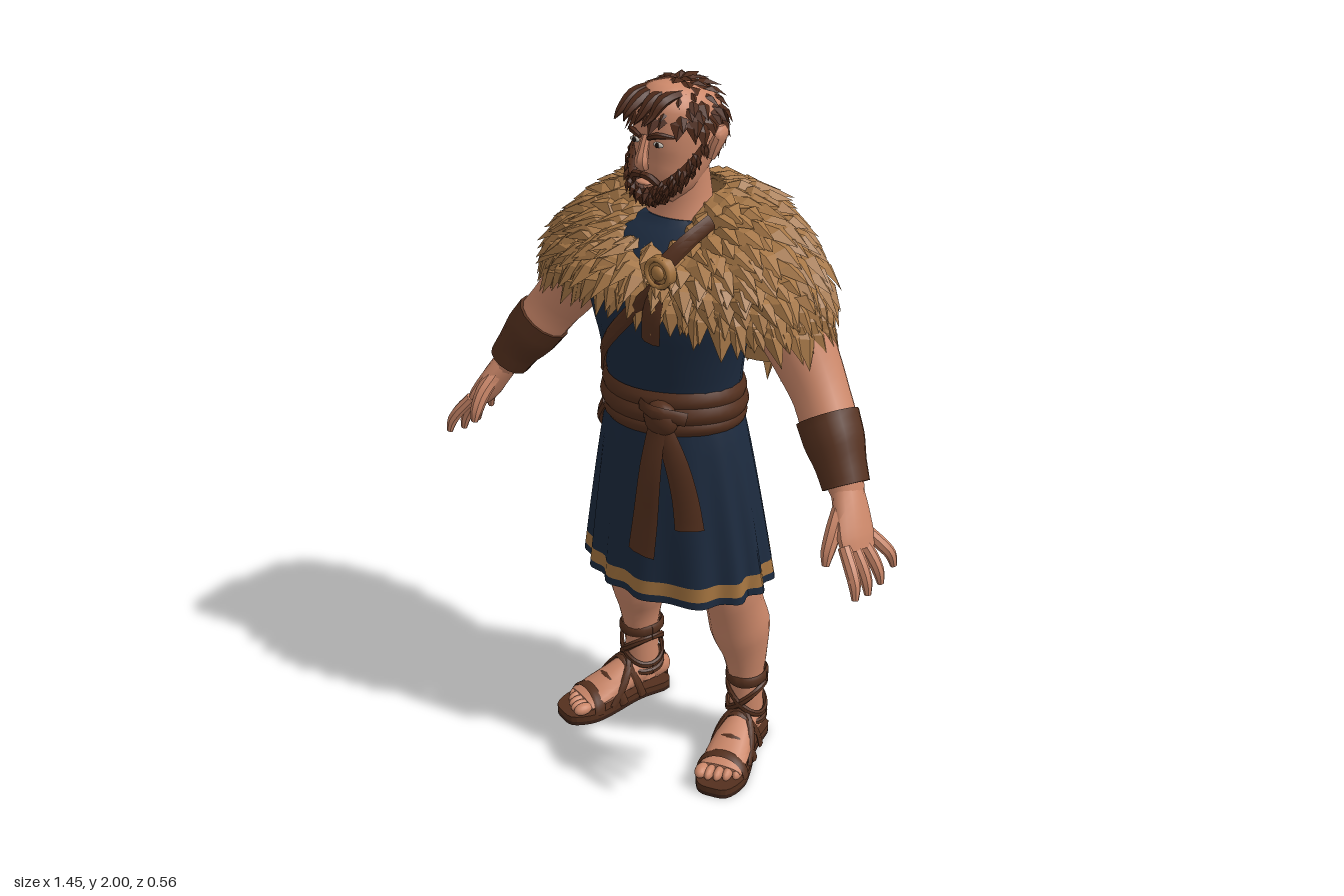
import * as THREE from 'three';
import { toCreasedNormals, mergeGeometries } from 'three/addons/utils/BufferGeometryUtils.js';

const V = (x, y, z) => new THREE.Vector3(x, y, z);
const mat = (name, color, side = THREE.DoubleSide) => {
  const m = new THREE.MeshStandardMaterial({ color, side });
  m.name = name;
  return m;
};
let seed = 7;
const rnd = () => ((seed = (seed * 16807) % 2147483647) / 2147483647) - 0.5;

function build(pos, idx, crease = 0.7) {
  const g = new THREE.BufferGeometry();
  g.setAttribute('position', new THREE.Float32BufferAttribute(pos, 3));
  g.setIndex(idx);
  return toCreasedNormals(g, crease);
}

// Closed tube through rows of [x, y, z, width radius, depth radius]; ref gives the depth direction.
function loft(rows, seg = 12, ref = () => V(0, 0, 1), sub = 3) {
  const path = new THREE.CatmullRomCurve3(rows.map(r => V(r[0], r[1], r[2])));
  const radii = new THREE.CatmullRomCurve3(rows.map(r => V(r[3], r[4], 0)));
  const n = (rows.length - 1) * sub, pos = [], idx = [];
  for (let i = 0; i <= n; i++) {
    const c = path.getPoint(i / n), r = radii.getPoint(i / n), T = path.getTangent(i / n);
    const v = ref(c).clone().addScaledVector(T, -ref(c).dot(T)).normalize();
    const u = v.clone().cross(T);
    for (let j = 0; j < seg; j++) {
      const a = (j / seg) * Math.PI * 2;
      pos.push(...c.clone().addScaledVector(u, Math.cos(a) * r.x).addScaledVector(v, Math.sin(a) * r.y));
      if (i === n) continue;
      const k = (j + 1) % seg, p = i * seg, q = p + seg;
      idx.push(p + j, p + k, q + k, p + j, q + k, q + j);
    }
  }
  const s = pos.length / 3;
  pos.push(...path.getPoint(0), ...path.getPoint(1));
  for (let j = 0; j < seg; j++) {
    const k = (j + 1) % seg;
    idx.push(s, k, j, s + 1, n * seg + j, n * seg + k);
  }
  return build(pos, idx);
}
// Upright body: rows of [y, z centre, x radius, z radius].
const body = (rows, seg = 20) => loft(rows.map(([y, z, a, b]) => [0, y, z, a, b]), seg);
// Flat strap along points, lying against an upright axis at (cx, cz).
const strap = (pts, w, cx = 0, cz = 0.02, th = 0.009) =>
  loft(pts.map(p => [...p, w, th]), 6, c => V(c.x - cx, 0, c.z - cz), 3);

// Sheet over fn(u, v), with v limited to a range.
function sheet(fn, nu, nv, v0 = 0, v1 = 1) {
  const pos = [], idx = [];
  for (let i = 0; i <= nv; i++) for (let j = 0; j <= nu; j++) {
    pos.push(...fn(j / nu, v0 + (v1 - v0) * i / nv));
    const a = i * (nu + 1) + j, b = a + nu + 1;
    if (i < nv && j < nu) idx.push(a, a + 1, b + 1, a, b + 1, b);
  }
  return build(pos, idx);
}

// Rows of pointed, ridged locks that follow a sheet downwards.
function locks(fn, rows, count, len, wide, lift, centre, v0 = 0.02, v1 = 0.95) {
  const pos = [], idx = [];
  for (let i = 0; i < rows; i++) {
    const v = v0 + (v1 - v0) * i / (rows - 1), n = count(v);
    for (let j = 0; j < n; j++) {
      const u = (j + 0.5 * (i % 2) + 0.25 + rnd() * 0.4) / n, w = Math.min(v, 0.97);
      const P = fn(u, v), base = fn(u, w);
      const D = fn(u, w + 0.02).sub(base).normalize();
      const S = fn(u + 0.005, w).sub(base).normalize();
      D.addScaledVector(S, rnd() * 0.5).normalize();
      const N = D.clone().cross(S).normalize();
      if (N.dot(P.clone().sub(centre)) < 0) N.negate();
      const L = len * (1 + rnd() * 0.5), W = wide * (1 + rnd() * 0.4) / 2, h = lift * (1 + rnd() * 0.5);
      const at = (d, s, o) => P.clone().addScaledVector(D, d * L).addScaledVector(S, s * W).addScaledVector(N, o * h);
      const k = pos.length / 3;
      pos.push(...at(-0.15, 0, -0.3), ...at(0.3, -1, 0.2), ...at(0.35, 0, 1.2), ...at(0.3, 1, 0.2), ...at(1, 0, 0.9));
      idx.push(k, k + 1, k + 2, k, k + 2, k + 3, k + 1, k + 4, k + 2, k + 2, k + 4, k + 3);
    }
  }
  return build(pos, idx, 0.1);
}

export function createModel() {
  const root = new THREE.Group();
  const skin = mat('skin', 0xcb8769, THREE.FrontSide), fur = mat('fur', 0xa67747);
  const cloth = mat('navy cloth', 0x1c2a3e), trim = mat('tan trim', 0xa3733f);
  const leather = mat('leather', 0x54301e), hair = mat('hair', 0x4e2a1a);
  const soleMat = mat('dark sole', 0x3a2117), white = mat('eye white', 0xd8cfc4), dark = mat('pupil', 0x1c1411);
  const add = (name, geo, m, parent = root) => {
    const o = new THREE.Mesh(geo, m);
    o.name = name;
    parent.add(o);
    return o;
  };
  const ball = (x, y, z, a, b, c) => new THREE.SphereGeometry(1, 14, 10).scale(a, b, c).translate(x, y, z);
  const TAU = Math.PI * 2;

  // Head and neck
  add('neck', body([[1.52, 0.03, 0.15, 0.12], [1.62, 0.01, 0.1, 0.09], [1.7, 0.01, 0.08, 0.078], [1.82, 0.03, 0.075, 0.075]]), skin);
  add('head', body([[1.7, 0.1, 0.035, 0.04], [1.74, 0.075, 0.075, 0.078], [1.8, 0.045, 0.093, 0.11], [1.86, 0.03, 0.1, 0.123],
    [1.92, 0.022, 0.101, 0.126], [1.965, 0.015, 0.075, 0.1], [1.985, 0.01, 0.03, 0.04]]), skin);
  add('nose', loft([[0, 1.875, 0.145, 0.011, 0.012], [0, 1.84, 0.159, 0.013, 0.014], [0, 1.81, 0.166, 0.02, 0.018], [0, 1.793, 0.158, 0.016, 0.012]], 8), skin);
  add('lips', ball(0, 1.757, 0.158, 0.024, 0.007, 0.014), skin);
  for (const s of [1, -1]) {
    add('ear', loft([[s * 0.104, 1.805, 0.02, 0.01, 0.012], [s * 0.113, 1.84, 0.012, 0.016, 0.022], [s * 0.125, 1.87, 0.005, 0.013, 0.026], [s * 0.125, 1.89, 0.005, 0.006, 0.012]], 8), skin);
    add('eye', ball(s * 0.038, 1.857, 0.146, 0.016, 0.007, 0.005), white);
    add('pupil', ball(s * 0.037, 1.857, 0.15, 0.006, 0.007, 0.003), dark);
    add('eyebrow', loft([[s * 0.013, 1.872, 0.156, 0.006, 0.006], [s * 0.04, 1.882, 0.152, 0.009, 0.008], [s * 0.072, 1.876, 0.124, 0.004, 0.005]], 6), hair);
    add('moustache', loft([[0, 1.778, 0.165, 0.009, 0.01], [s * 0.025, 1.774, 0.163, 0.011, 0.01], [s * 0.05, 1.745, 0.143, 0.009, 0.008]], 6), hair);
  }

  // Hair and beard, each a shell covered in locks
  const hairAt = (u, v) => {
    const s = Math.sin(u * TAU), c = Math.cos(u * TAU);
    const phi = v * (s > 0 ? 1.55 - 0.42 * s : 1.55 - 0.95 * s);
    return V(0.108 * c * Math.sin(phi), 1.872 + 0.118 * Math.cos(phi), 0.018 + 0.13 * s * Math.sin(phi));
  };
  add('hairCap', sheet(hairAt, 28, 10), hair);
  add('hairLocks', locks(hairAt, 8, v => 6 + Math.round(16 * v), 0.055, 0.042, 0.009, V(0, 1.86, 0.01), 0.04, 0.92), hair);
  for (const x of [-0.05, -0.02, 0.015, 0.045])
    add('forelock', loft([[x, 1.97, 0.06, 0.018, 0.012], [x - 0.005, 1.965, 0.13, 0.02, 0.014], [x - 0.015, 1.93, 0.17 + rnd() * 0.02, 0.012, 0.009], [x - 0.02, 1.912, 0.185, 0.002, 0.002]], 6, () => V(0, 1, 0)), hair);
  const beardAt = (u, v) => {
    const a = u * 2 - 1, f = a * 1.65, e = Math.abs(a), k = 1 - 0.72 * v ** 2.4 * (1 - 0.5 * e);
    const y = THREE.MathUtils.lerp(1.742 + 0.125 * e ** 1.4, 1.688 + 0.085 * e * e, v);
    return V(Math.sin(f) * 0.104 * k, y, 0.05 + 0.03 * v * (1 - e) + Math.cos(f) * 0.118 * k);
  };
  add('beard', sheet(beardAt, 24, 8), hair);
  add('beardLocks', locks(beardAt, 5, () => 17, 0.034, 0.026, 0.008, V(0, 1.78, 0.03), 0.02, 0.8), hair);

  // Tunic and pleated skirt
  add('tunic', body([[1.08, 0.04, 0.19, 0.155], [1.2, 0.04, 0.197, 0.16], [1.32, 0.047, 0.218, 0.172], [1.44, 0.05, 0.248, 0.183],
    [1.53, 0.03, 0.26, 0.165], [1.6, 0.015, 0.17, 0.12], [1.635, 0.01, 0.1, 0.09]], 24), cloth);
  const skirtAt = (u, v) => {
    const th = u * TAU, s = Math.sin(th), k = v ** 0.8;
    const fold = 1 + 0.04 * v * Math.cos(14 * th + 1.5 * Math.sin(3 * th));
    return V(Math.cos(th) * (0.19 + 0.1 * k) * fold, 1.12 - 0.53 * v - 0.0175 * s * v, 0.04 - 0.02 * k + s * (0.16 + 0.055 * k) * fold);
  };
  add('skirt', sheet(skirtAt, 112, 10, 0, 0.885), cloth);
  add('hemBand', sheet(skirtAt, 112, 1, 0.885, 0.96), trim);
  add('hemEdge', sheet(skirtAt, 112, 1, 0.96, 1), cloth);

  // Wrapped belt, knot, hanging sash ends and straps
  for (const [y, h, o] of [[1.175, 0.027, 0.004], [1.135, 0.028, 0.01], [1.1, 0.024, 0.006]])
    add('belt', sheet((u, v) => {
      const a = u * TAU, b = Math.sin(v * Math.PI) * 0.012 + o;
      return V(Math.cos(a) * (0.192 + b), y + h * (1 - 2 * v) + 0.006 * Math.sin(2 * a), 0.04 + Math.sin(a) * (0.16 + b));
    }, 40, 4), leather);
  add('knot', ball(0.09, 1.14, 0.205, 0.052, 0.05, 0.036), leather);
  add('knotWrap', strap([[0.03, 1.165, 0.212], [0.09, 1.17, 0.237], [0.16, 1.15, 0.185]], 0.02), leather);
  add('sashEnd', loft([[0.09, 1.13, 0.22, 0.028, 0.012], [0.08, 1, 0.238, 0.036, 0.012], [0.065, 0.85, 0.242, 0.042, 0.012], [0.055, 0.735, 0.25, 0.045, 0.01]], 6), leather);
  add('sashEnd', loft([[0.1, 1.13, 0.215, 0.026, 0.012], [0.145, 1.02, 0.208, 0.034, 0.011], [0.17, 0.92, 0.202, 0.038, 0.011], [0.187, 0.835, 0.205, 0.042, 0.01]], 6, () => V(0.4, 0, 1)), leather);
  add('chestStrap', strap([[0.11, 1.53, 0.228], [0, 1.41, 0.24], [-0.1, 1.3, 0.204], [-0.185, 1.18, 0.115]], 0.021), leather);
  const loop = [];
  for (let i = 0; i <= 8; i++) {
    const p = skirtAt(0.37 + 0.38 * i / 8, 0.02 + 0.34 * Math.sin(i / 8 * Math.PI));
    loop.push([p.x * 1.04, p.y, 0.03 + (p.z - 0.03) * 1.06]);
  }
  add('hipStrap', strap(loop, 0.017), leather);

  // Fur mantle: side, front and back profiles blended around the body
  const curve = pts => new THREE.CatmullRomCurve3(pts.map(([r, y]) => V(r, y, 0)));
  const sideP = curve([[0.095, 1.705], [0.25, 1.655], [0.385, 1.54], [0.432, 1.42]]);
  const frontP = curve([[0.115, 1.6], [0.19, 1.575], [0.238, 1.53], [0.25, 1.485]]);
  const backP = curve([[0.08, 1.715], [0.165, 1.66], [0.218, 1.46], [0.165, 1.16]]);
  const mantleAt = (u, v) => {
    const s = Math.sin(u * TAU), c = Math.cos(u * TAU);
    const A = sideP.getPoint(v), B = (s > 0 ? frontP : backP).getPoint(v), w = Math.abs(s) ** 1.5;
    return V(Math.sign(c) * Math.abs(c) ** 0.85 * A.x, THREE.MathUtils.lerp(A.y, B.y, w), -0.025 + Math.sign(s) * Math.abs(s) ** 0.85 * B.x);
  };
  add('furMantle', sheet(mantleAt, 64, 14), fur);
  add('furTufts', locks(mantleAt, 12, v => 22 + Math.round(30 * v), 0.1, 0.066, 0.017, V(0, 1.42, -0.02), 0.01, 0.93), fur);
  add('clasp', new THREE.CylinderGeometry(0.042, 0.045, 0.02, 18).rotateX(Math.PI / 2).translate(0.11, 1.565, 0.228), trim);
  add('claspRim', new THREE.TorusGeometry(0.036, 0.007, 6, 18).translate(0.11, 1.565, 0.239), trim);
  add('claspBoss', ball(0.11, 1.565, 0.238, 0.02, 0.02, 0.012), trim);
  add('claspStrap', strap([[0.17, 1.675, 0.1], [0.15, 1.635, 0.18], [0.12, 1.585, 0.225]], 0.022), leather);
  add('claspTail', loft([[0.11, 1.54, 0.23, 0.02, 0.01], [0.095, 1.45, 0.246, 0.03, 0.011], [0.085, 1.37, 0.238, 0.03, 0.009]], 6), leather);

  for (const s of [1, -1]) {
    // Arms, sleeves and bracers
    const limb = (name, rows, m, seg = 14) => add(name, loft(rows.map(([x, ...r]) => [x * s, ...r]), seg), m);
    limb('arm', [[0.22, 1.52, -0.01, 0.09, 0.1], [0.33, 1.42, -0.01, 0.096, 0.095], [0.41, 1.31, -0.005, 0.085, 0.083], [0.46, 1.245, 0.01, 0.076, 0.075],
      [0.52, 1.16, 0.04, 0.074, 0.074], [0.575, 1.08, 0.068, 0.05, 0.054], [0.6, 1.04, 0.08, 0.036, 0.05]], skin);
    limb('sleeve', [[0.18, 1.52, 0, 0.1, 0.11], [0.26, 1.46, -0.005, 0.112, 0.112], [0.315, 1.415, -0.008, 0.108, 0.108]], cloth);
    limb('sleeveTrim', [[0.308, 1.42, -0.008, 0.111, 0.111], [0.327, 1.402, -0.008, 0.11, 0.11]], trim);
    limb('bracer', [[0.49, 1.205, 0.025, 0.082, 0.084], [0.525, 1.155, 0.042, 0.08, 0.08], [0.56, 1.105, 0.06, 0.066, 0.069], [0.588, 1.06, 0.074, 0.06, 0.065]], leather);
    // Hands
    limb('palm', [[0.59, 1.06, 0.075, 0.036, 0.046], [0.62, 1.01, 0.095, 0.034, 0.058], [0.65, 0.955, 0.115, 0.03, 0.066], [0.667, 0.925, 0.122, 0.022, 0.06]], skin);
    for (let i = 0; i < 4; i++) {
      const z = 0.07 + i * 0.034, e = [0.03, 0.005, 0, 0.012][i], sp = (i - 1.5) * 0.012;
      limb('finger', [[0.655, 0.95, z, 0.017, 0.017], [0.69, 0.9 + e / 2, z + sp, 0.018, 0.017], [0.71, 0.86 + e, z + 1.6 * sp, 0.016, 0.015], [0.718, 0.824 + e, z + 2 * sp, 0.009, 0.009]], skin, 8);
    }
    limb('thumb', [[0.605, 1.03, 0.11, 0.022, 0.026], [0.615, 0.98, 0.16, 0.022, 0.024], [0.618, 0.93, 0.19, 0.018, 0.019], [0.62, 0.895, 0.2, 0.01, 0.01]], skin, 8);

    // Legs
    limb('leg', [[0.115, 1, 0.03, 0.1, 0.11], [0.16, 0.75, 0.03, 0.098, 0.105], [0.19, 0.58, 0.022, 0.08, 0.09], [0.19, 0.52, 0.008, 0.079, 0.085], [0.188, 0.42, -0.025, 0.085, 0.09],
      [0.198, 0.32, -0.04, 0.062, 0.07], [0.2, 0.22, -0.045, 0.046, 0.057], [0.2, 0.06, -0.05, 0.046, 0.055]], skin, 16);

    // Feet and sandals, turned outward
    const foot = new THREE.Group();
    foot.name = 'foot';
    foot.position.set(s * 0.2, 0, -0.05);
    foot.rotation.y = s * 0.3;
    root.add(foot);
    const up = () => V(0, 1, 0);
    add('footBody', loft([[0, 0.06, -0.075, 0.03, 0.03], [0, 0.075, -0.05, 0.045, 0.045], [0, 0.09, 0.01, 0.048, 0.06], [0, 0.078, 0.08, 0.054, 0.05],
      [0, 0.058, 0.16, 0.064, 0.034], [0, 0.045, 0.22, 0.062, 0.02]], 14, up), skin, foot);
    for (let i = 0; i < 5; i++)
      add('toe', ball(s * (-0.047 + i * 0.024), 0.047 - i * 0.002, 0.245 - i * i * 0.0025, i ? 0.0135 : 0.019, 0.018, 0.03), skin, foot);
    const outline = [[0, 0.085], [0.05, 0.06], [0.048, -0.04], [0.068, -0.15], [0.072, -0.22], [0.045, -0.28], [0, -0.29]];
    const left = outline.slice(1, -1).reverse().map(([x, y]) => [-x, y]);
    const shape = new THREE.Shape().setFromPoints(new THREE.SplineCurve([...outline, ...left, outline[0]].map(p => new THREE.Vector2(...p))).getPoints(40));
    const slab = (y, h) => new THREE.ExtrudeGeometry(shape, { depth: h, bevelEnabled: false }).rotateX(-Math.PI / 2).translate(0, y, 0);
    add('sole', slab(0, 0.012), soleMat, foot);
    add('insole', slab(0.012, 0.018), leather, foot);
    // Straps over the foot: [z at the edge, z at the crown, half width, height, strap half width]
    for (const [z0, z1, w, h, b] of [[0.2, 0.19, 0.072, 0.072, 0.018], [0.11, 0.13, 0.067, 0.095, 0.014], [0.04, 0.075, 0.06, 0.135, 0.013], [0.15, 0.06, 0.064, 0.14, 0.012]]) {
      const pts = [];
      for (let i = 0; i <= 8; i++) {
        const a = i / 8 * Math.PI;
        pts.push([Math.cos(a) * w, 0.022 + Math.sin(a) * (h - 0.014), z0 + (z1 - z0) * Math.sin(a), b, 0.006]);
      }
      add('footStrap', loft(pts, 6, c => V(c.x, c.y - 0.02, 0), 2), leather, foot);
    }
    // Ankle bands and crossed laces
    const wraps = [[0.245, 0, 0.018], [0.17, 0.05, 0.011], [0.17, -0.05, 0.011], [0.12, -0.025, 0.011]].map(([y, tilt, b]) => {
      const pts = [];
      for (let i = 0; i <= 16; i++) {
        const a = i / 16 * TAU;
        pts.push([Math.cos(a) * 0.055, y + tilt * Math.cos(a), 0.003 + Math.sin(a) * 0.064]);
      }
      return strap(pts, b, 0, 0.003, 0.007);
    });
    add('ankleLaces', mergeGeometries(wraps), leather, foot);
    add('heelStrap', strap([[0, 0.02, -0.078], [0, 0.07, -0.08], [0, 0.13, -0.064]], 0.018, 0, 0, 0.006), leather, foot);
  }
  return root;
}
